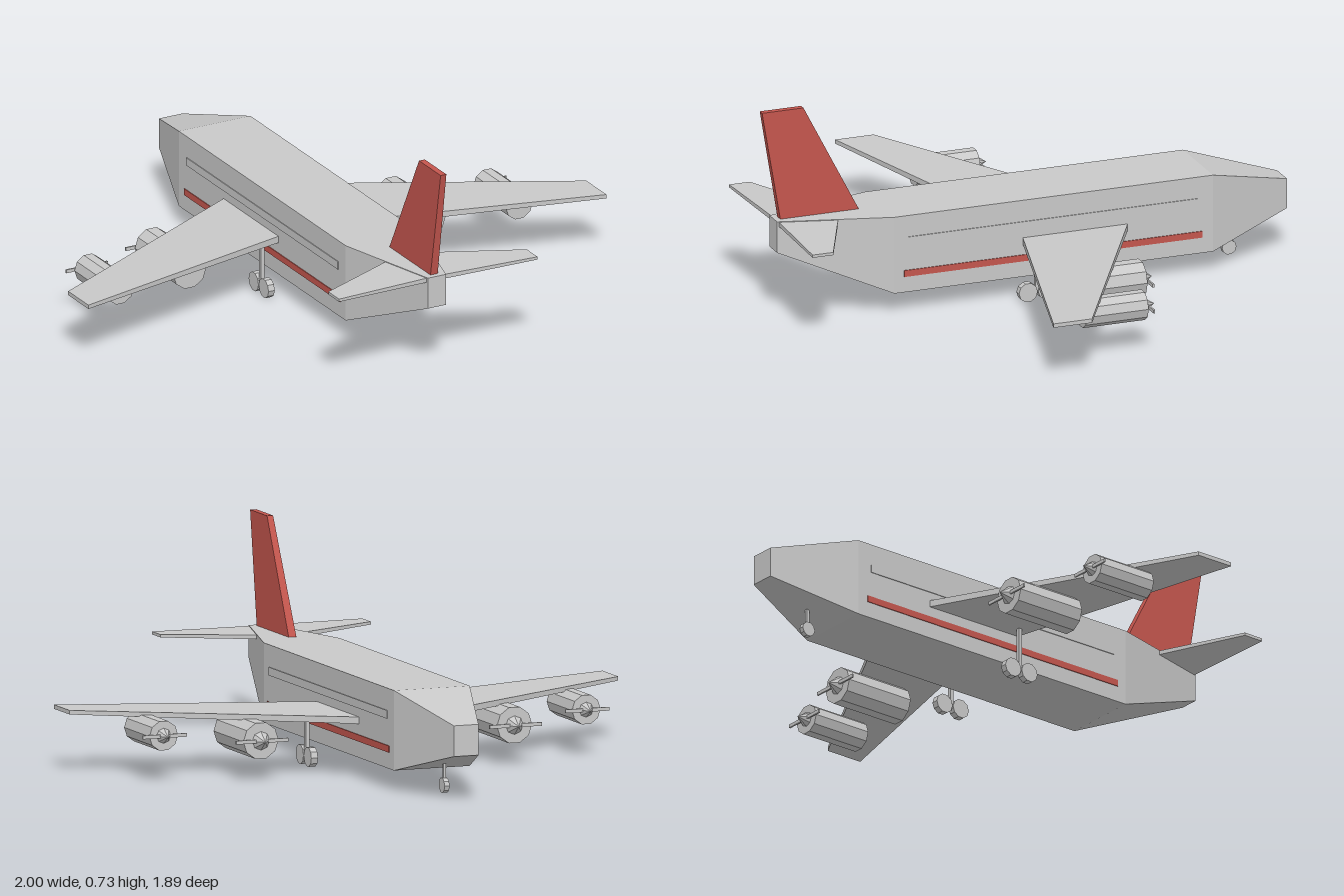
import * as THREE from 'three';

const grey = new THREE.MeshStandardMaterial({ color: 0xc8c8c8, flatShading: true });
grey.name = 'light grey';
const red = new THREE.MeshStandardMaterial({ color: 0xc4564e, flatShading: true });
red.name = 'red';

// Closed solid skinned over a row of four-cornered sections, wound outwards
function loft(sections) {
  const tris = [];
  const quad = (a, b, c, d) => tris.push([a, b, c], [a, c, d]);
  for (let i = 0; i < sections.length - 1; i++) {
    const s = sections[i], t = sections[i + 1];
    for (let k = 0; k < 4; k++) quad(s[k], s[(k + 1) % 4], t[(k + 1) % 4], t[k]);
  }
  const last = sections[sections.length - 1];
  quad(...[...sections[0]].reverse());
  quad(...last);
  const v = (p) => new THREE.Vector3(...p);
  const volume = tris.reduce((sum, [a, b, c]) => sum + v(a).dot(v(b).cross(v(c))), 0);
  if (volume < 0) tris.forEach((t) => t.reverse());
  const geometry = new THREE.BufferGeometry();
  geometry.setAttribute('position', new THREE.Float32BufferAttribute(tris.flat(2), 3));
  geometry.computeVertexNormals();
  return geometry;
}

// Section across z: half width and height range
const hullSection = (z, w, y0, y1) => [[-w, y0, z], [w, y0, z], [w, y1, z], [-w, y1, z]];
// Section across x: chord and thickness range
const wingSection = (x, z0, z1, y0, y1) => [[x, y0, z0], [x, y0, z1], [x, y1, z1], [x, y1, z0]];
// Section across y
const finSection = (y, w, z0, z1) => [[-w, y, z0], [w, y, z0], [w, y, z1], [-w, y, z1]];

function add(parent, name, geometry, material, x = 0, y = 0, z = 0) {
  const mesh = new THREE.Mesh(geometry, material);
  mesh.name = name;
  mesh.position.set(x, y, z);
  parent.add(mesh);
  return mesh;
}

// Ten-sided engine with a pointed hub and a two-bladed propeller, nose at -z
function engine(name, r, length, blade) {
  const group = new THREE.Group();
  group.name = name;
  const body = new THREE.CylinderGeometry(r, r, length, 10).rotateY(Math.PI / 2).rotateX(-Math.PI / 2);
  add(group, 'engineBody', body, grey, 0, 0, length / 2);
  const hub = new THREE.ConeGeometry(r * 0.5, 0.04, 8).rotateX(-Math.PI / 2);
  add(group, 'propellerHub', hub, grey, 0, 0, -0.02);
  add(group, 'propellerBlades', new THREE.BoxGeometry(blade * 2, 0.012, 0.006), grey, 0, 0, -0.009);
  return group;
}

function wheel(r, width) {
  return new THREE.CylinderGeometry(r, r, width, 10).rotateZ(Math.PI / 2);
}

export function createModel() {
  const plane = new THREE.Group();
  plane.name = 'airplane';

  // Fuselage
  add(plane, 'fuselage', loft([
    hullSection(-0.945, 0.045, 0.158, 0.263),
    hullSection(-0.64, 0.138, 0.073, 0.346),
    hullSection(0.515, 0.138, 0.073, 0.346),
    hullSection(0.9, 0.035, 0.235, 0.346),
  ]), grey);

  // Wings and tailplane, each one piece through the hull
  add(plane, 'wings', loft([
    wingSection(-1, 0.14, 0.28, 0.204, 0.218),
    wingSection(0, -0.406, 0.013, 0.186, 0.211),
    wingSection(1, 0.14, 0.28, 0.204, 0.218),
  ]), grey);
  add(plane, 'tailplane', loft([
    wingSection(-0.383, 0.834, 0.909, 0.333, 0.343),
    wingSection(0, 0.66, 0.892, 0.328, 0.344),
    wingSection(0.383, 0.834, 0.909, 0.333, 0.343),
  ]), grey);

  // Tail fin
  add(plane, 'tailFin', loft([
    finSection(0.335, 0.014, 0.59, 0.878),
    finSection(0.732, 0.011, 0.795, 0.945),
  ]), red);

  for (const s of [-1, 1]) {
    const side = s > 0 ? 'left' : 'right';

    // Side stripe and window band
    add(plane, side + 'Stripe', new THREE.BoxGeometry(0.006, 0.023, 1.08), red, s * 0.138, 0.14, -0.06);
    add(plane, side + 'WindowBand', new THREE.BoxGeometry(0.006, 0.028, 1.05), grey, s * 0.138, 0.256, -0.06);

    // Engines
    const inner = engine(side + 'InnerEngine', 0.064, 0.265, 0.095);
    inner.position.set(s * 0.462, 0.138, -0.249);
    const outer = engine(side + 'OuterEngine', 0.052, 0.225, 0.08);
    outer.position.set(s * 0.77, 0.157, -0.136);
    plane.add(inner, outer);

    // Main landing gear
    const gear = new THREE.Group();
    gear.name = side + 'MainGear';
    gear.position.set(s * 0.185, 0, 0.018);
    add(gear, 'strut', new THREE.BoxGeometry(0.014, 0.16, 0.014), grey, 0, 0.115, 0);
    add(gear, 'axleBeam', new THREE.BoxGeometry(0.01, 0.012, 0.07), grey, 0, 0.035, 0);
    for (const e of [-1, 1]) add(gear, 'wheel', wheel(0.034, 0.024), grey, 0, 0.035, e * 0.035);
    plane.add(gear);
  }

  // Nose gear
  const noseGear = new THREE.Group();
  noseGear.name = 'noseGear';
  noseGear.position.z = -0.75;
  add(noseGear, 'strut', new THREE.BoxGeometry(0.01, 0.09, 0.01), grey, 0, 0.075, 0);
  add(noseGear, 'wheel', wheel(0.026, 0.018), grey, 0, 0.031, 0);
  plane.add(noseGear);

  return plane;
}
